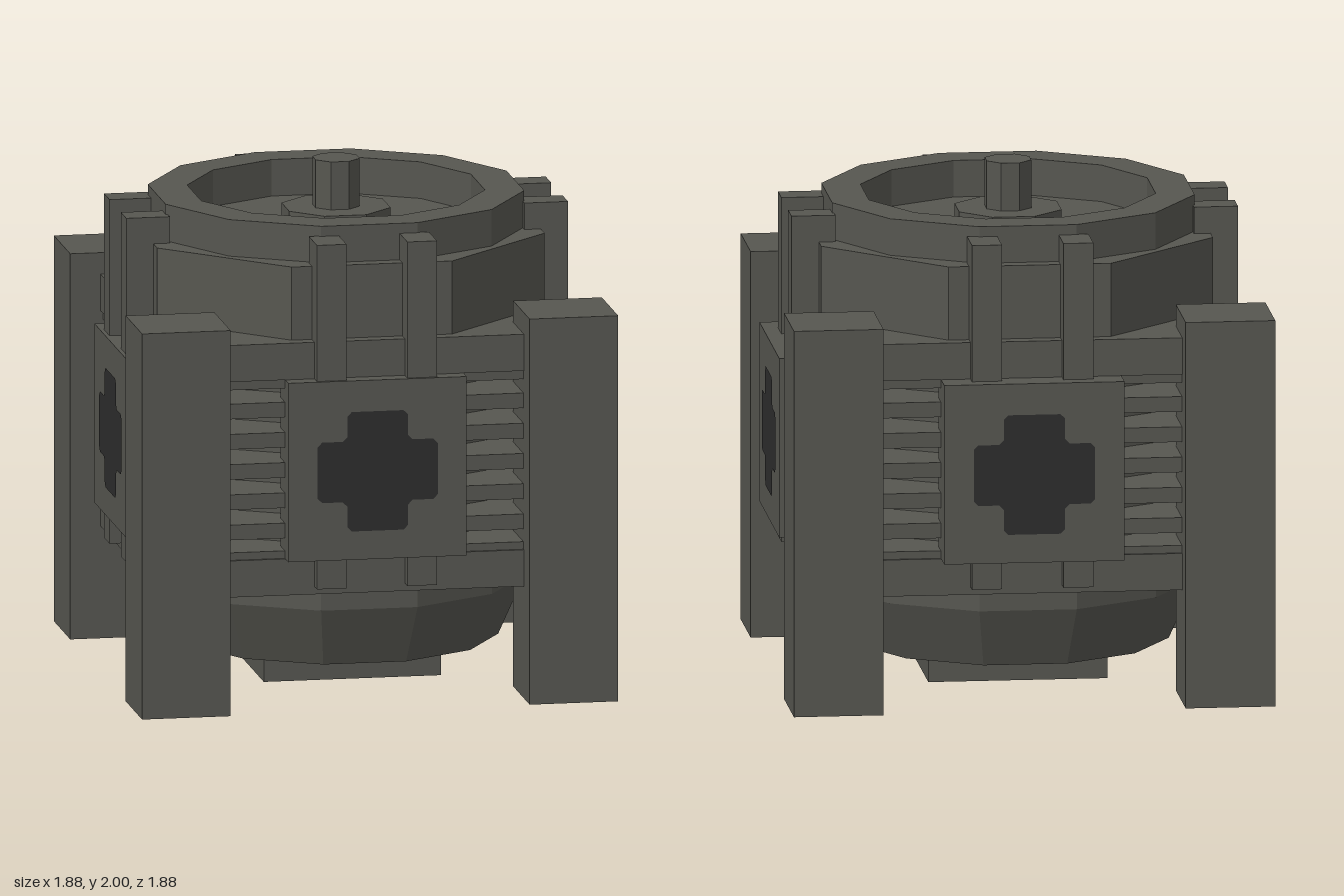
import * as THREE from 'three';

const metal = new THREE.MeshStandardMaterial({ color: 0x565650 });
metal.name = 'grey metal';
const dark = new THREE.MeshStandardMaterial({ color: 0x2d2d2d });
dark.name = 'dark opening';
const copper = new THREE.MeshStandardMaterial({ color: 0xa8694f });
copper.name = 'copper';

function add(parent, name, geometry, material = metal) {
  const mesh = new THREE.Mesh(geometry, material);
  mesh.name = name;
  parent.add(mesh);
  return mesh;
}

// Box given by its lower and upper corners
function box(parent, name, [x0, y0, z0], [x1, y1, z1], material) {
  const g = new THREE.BoxGeometry(x1 - x0, y1 - y0, z1 - z0);
  g.translate((x0 + x1) / 2, (y0 + y1) / 2, (z0 + z1) / 2);
  return add(parent, name, g, material);
}

// Faceted prism with flat sides facing the axes; apothems at bottom and top
function prism(parent, name, sides, bottom, top, y0, y1) {
  const k = 1 / Math.cos(Math.PI / sides);
  let g = new THREE.CylinderGeometry(top * k, bottom * k, y1 - y0, sides);
  g.rotateY(Math.PI / sides);
  g.translate(0, (y0 + y1) / 2, 0);
  g = g.toNonIndexed();
  g.computeVertexNormals();
  return add(parent, name, g);
}

function polygonPath(path, sides, apothem) {
  const r = apothem / Math.cos(Math.PI / sides);
  for (let i = 0; i < sides; i++) {
    const a = ((i + 0.5) / sides) * Math.PI * 2;
    path[i ? 'lineTo' : 'moveTo'](r * Math.cos(a), r * Math.sin(a));
  }
  path.closePath();
  return path;
}

// Flat cross with clipped corners: reach of the arms and half their width
function crossGeometry(reach, half, clip) {
  const quarter = [
    [reach, half - clip], [reach - clip, half], [half + clip, half],
    [half, half + clip], [half, reach - clip], [half - clip, reach],
  ];
  const points = [];
  for (let i = 0; i < 4; i++) {
    for (const [x, y] of quarter) {
      points.push(new THREE.Vector2(x, y).rotateAround(new THREE.Vector2(), (i * Math.PI) / 2));
    }
  }
  return new THREE.ShapeGeometry(new THREE.Shape(points));
}

export function createModel() {
  const model = new THREE.Group();
  model.name = 'generator';

  // Corner pillars
  for (const sx of [-1, 1]) {
    for (const sz of [-1, 1]) {
      const pillar = box(model, 'cornerPillar', [-0.175, 0, -0.175], [0.175, 1.53, 0.175]);
      pillar.position.set(sx * 0.765, 0, sz * 0.765);
    }
  }

  // Square end plates, cooling fins and the drum behind them
  box(model, 'lowerPlate', [-0.82, 0.445, -0.82], [0.82, 0.59, 0.82]);
  box(model, 'upperPlate', [-0.82, 1.3, -0.82], [0.82, 1.445, 0.82]);
  prism(model, 'innerDrum', 12, 0.71, 0.71, 0.59, 1.3);
  box(model, 'coolingFin', [-0.81, 0.59, -0.81], [0.81, 0.62, 0.81]);
  box(model, 'coolingFin', [-0.81, 1.265, -0.81], [0.81, 1.3, 0.81]);
  for (let i = 0; i < 5; i++) {
    const y = 0.67 + i * 0.12;
    box(model, 'coolingFin', [-0.81, y, -0.81], [0.81, y + 0.06, 0.81]);
  }

  // Tapered underside
  prism(model, 'lowerDrum', 12, 0.71, 0.71, 0.355, 0.445);
  prism(model, 'taperedBase', 12, 0.61, 0.71, 0.12, 0.355);

  // Foot with dark opening and copper contact facing down
  box(model, 'foot', [-0.35, 0.004, -0.35], [0.35, 0.12, 0.35]);
  const footOpening = add(model, 'footOpening', crossGeometry(0.31, 0.25, 0.02), dark);
  footOpening.rotation.x = Math.PI / 2;
  footOpening.position.y = 0.002;
  const contact = add(model, 'footContact', new THREE.PlaneGeometry(0.21, 0.21), copper);
  contact.rotation.x = Math.PI / 2;

  // Octagonal collar and the rim around the recessed top
  prism(model, 'octagonCollar', 8, 0.765, 0.765, 1.445, 1.735);
  const rimShape = polygonPath(new THREE.Shape(), 12, 0.708);
  rimShape.holes.push(polygonPath(new THREE.Path(), 12, 0.56));
  const rim = new THREE.ExtrudeGeometry(rimShape, { depth: 0.145, bevelEnabled: false });
  rim.rotateX(-Math.PI / 2);
  rim.translate(0, 1.735, 0);
  add(model, 'topRim', rim);

  // Hub and post
  prism(model, 'hub', 8, 0.2, 0.2, 1.735, 1.81);
  prism(model, 'post', 8, 0.087, 0.087, 1.81, 2);

  // Each side: two upright bars and a panel with a cross opening
  [0.885, 0.932, 0.932, 0.888].forEach((depth, i) => {
    const side = new THREE.Group();
    side.name = ['frontSide', 'leftSide', 'backSide', 'rightSide'][i];
    side.rotation.y = (i * Math.PI) / 2;
    for (const x of [-0.237, 0.12]) {
      box(side, 'uprightBar', [x, 0.475, 0.7], [x + 0.117, 1.84, 0.872]);
    }
    box(side, 'sidePanel', [-0.352, 0.59, 0.72], [0.352, 1.3, depth]);
    const opening = add(side, 'crossOpening', crossGeometry(0.237, 0.12, 0.018), dark);
    opening.position.set(0, 0.94, depth + 0.003);
    model.add(side);
  });

  return model;
}
